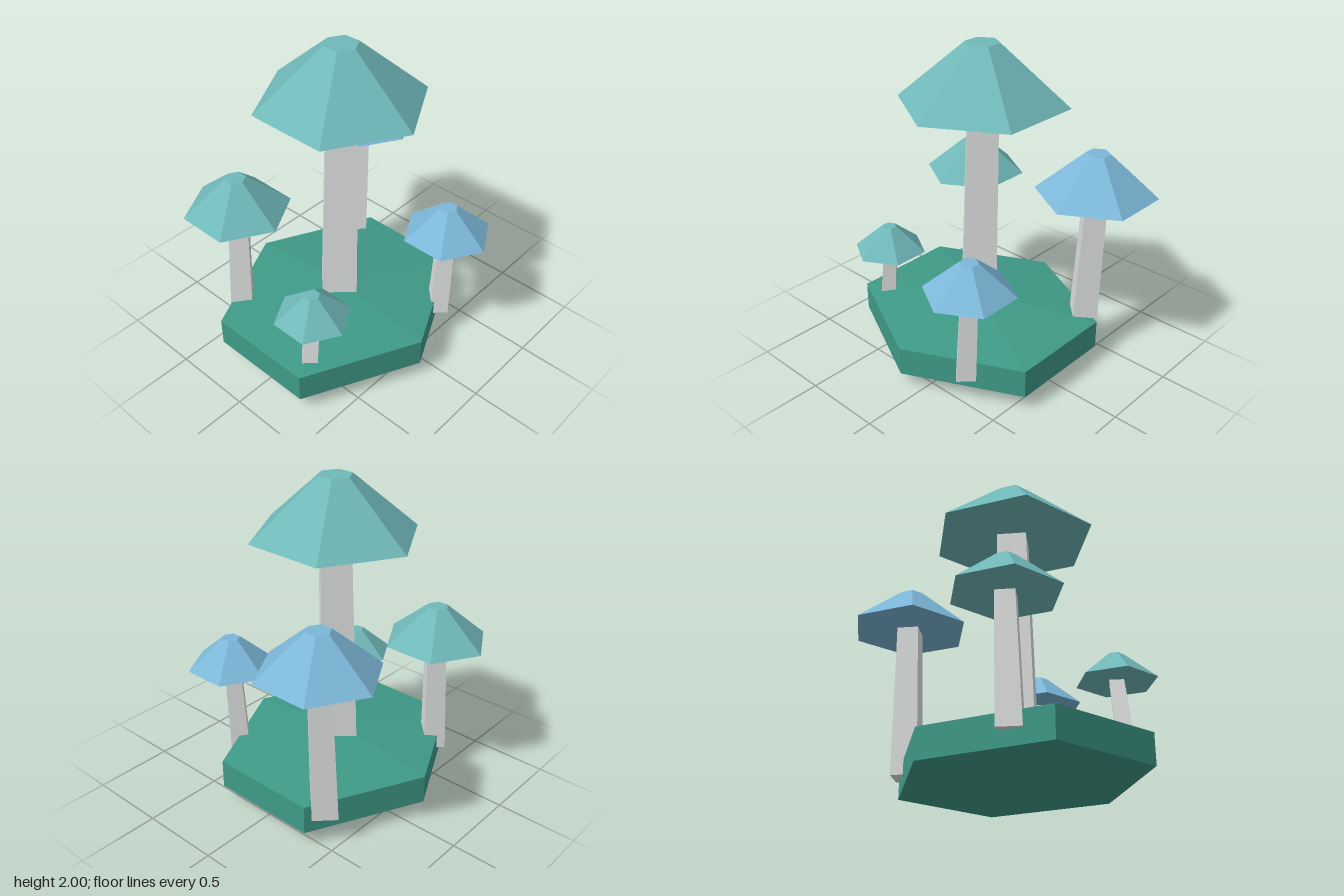
import * as THREE from 'three';

const mat = (name, color) => {
  const m = new THREE.MeshStandardMaterial({ color });
  m.name = name;
  return m;
};

// Faceted mesh: split the faces so each keeps its own normal
function facet(name, geometry, material) {
  const g = geometry.toNonIndexed();
  g.computeVertexNormals();
  const mesh = new THREE.Mesh(g, material);
  mesh.name = name;
  return mesh;
}

export function createModel() {
  const green = mat('ground green', 0x3f9a87);
  const grey = mat('stem pale grey', 0xdfe1e1);
  const teal = mat('cap teal', 0x70b8b9);
  const blue = mat('cap blue', 0x7cb7d8);

  const model = new THREE.Group();
  model.name = 'mushroomCluster';

  // Six-sided ground slab with shallow points above and below
  const profile = [[0, 0], [0.675, 0.1], [0.675, 0.28], [0, 0.363]];
  const slab = new THREE.LatheGeometry(profile.map(([r, y]) => new THREE.Vector2(r, y)), 6);
  slab.scale(1.18, 1, 1);
  const ground = facet('ground', slab, green);
  ground.position.set(-0.11, 0, -0.023);
  model.add(ground);

  // Mushroom: sheared four-sided stem under a six-sided cap; lean is the foot's x offset
  function mushroom(name, material, x, z, radius, foot, rim, top, lean) {
    const group = new THREE.Group();
    group.name = name;

    const height = rim - foot;
    const stemShape = new THREE.CylinderGeometry(radius * 0.247, radius * 0.298, height, 4);
    stemShape.translate(0, -height / 2, 0);
    stemShape.applyMatrix4(new THREE.Matrix4().makeShear(0, 0, -lean / height, 0, 0, 0));
    const stem = facet('stem', stemShape, grey);
    stem.position.y = rim;

    const cap = facet('cap', new THREE.CylinderGeometry(radius * 0.2, radius, top - rim, 6), material);
    cap.position.y = (rim + top) / 2;

    group.add(stem, cap);
    group.position.set(x, 0, z);
    model.add(group);
  }

  mushroom('tallMushroom', teal, -0.063, -0.025, 0.505, 0.34, 1.652, 2.0, -0.04);
  mushroom('backLeftMushroom', blue, 0.49, -0.395, 0.364, 0.19, 1.128, 1.38, -0.045);
  mushroom('backRightMushroom', teal, -0.522, -0.44, 0.32, 0.19, 0.952, 1.173, -0.038);
  mushroom('frontLeftMushroom', blue, 0.306, 0.482, 0.272, 0.19, 0.78, 0.968, -0.036);
  mushroom('frontRightMushroom', teal, -0.612, 0.253, 0.228, 0.19, 0.602, 0.762, -0.05);

  return model;
}
